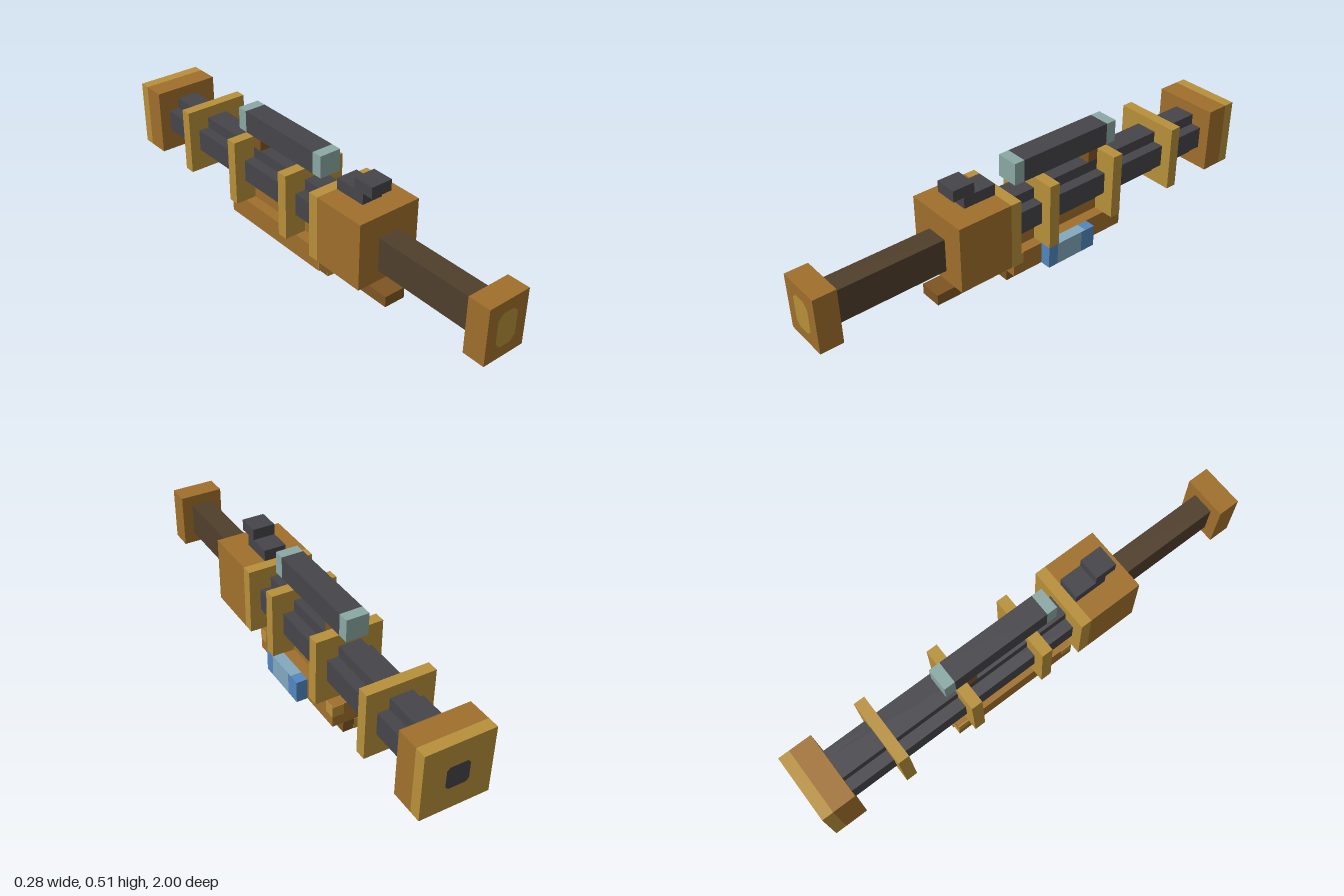
import * as THREE from 'three';

const colour = (name, hex) => {
  const m = new THREE.MeshStandardMaterial({ color: hex });
  m.name = name;
  return m;
};

export function createModel() {
  const model = new THREE.Group();
  model.name = 'model';

  const bronze = colour('bronze', 0xa0702c);
  const gold = colour('gold', 0xb8903a);
  const brown = colour('brown', 0x7f5522);
  const darkWood = colour('dark wood', 0x503f2c);
  const iron = colour('iron grey', 0x46454a);
  const teal = colour('pale teal', 0x8ba9a5);
  const blue = colour('blue', 0x5287c0);
  const paleBlue = colour('pale blue', 0x82a9be);

  // One voxel; most sizes are multiples of it
  const U = 0.0465;

  // Box given by its limits along each axis
  function box(name, material, [x0, x1], [y0, y1], [z0, z1]) {
    const mesh = new THREE.Mesh(new THREE.BoxGeometry(x1 - x0, y1 - y0, z1 - z0), material);
    mesh.position.set((x0 + x1) / 2, (y0 + y1) / 2, (z0 + z1) / 2);
    mesh.name = name;
    model.add(mesh);
    return mesh;
  }
  const wide = (n) => [-n * U, n * U];

  // Flat patch with cut corners, facing +z or -z
  function patch(name, material, w, h, cut, y, z, back) {
    const s = new THREE.Shape([
      [-w + cut, -h], [w - cut, -h], [w, -h + cut], [w, h - cut],
      [w - cut, h], [-w + cut, h], [-w, h - cut], [-w, -h + cut],
    ].map(([a, b]) => new THREE.Vector2(a, b)));
    const mesh = new THREE.Mesh(new THREE.ShapeGeometry(s), material);
    mesh.position.set(0, y, z);
    if (back) mesh.rotation.y = Math.PI;
    mesh.name = name;
    model.add(mesh);
  }

  // Stock and butt plate
  box('stock', darkWood, wide(1), [0.186, 0.326], [0.44, 0.907]);
  box('buttPlate', bronze, wide(2), [0.14, 0.372], [0.907, 0.999]);
  patch('buttInlay', gold, U, 0.07, 0.022, 0.256, 1, false);

  // Receiver with gold rear band
  box('receiver', bronze, wide(3), [0.14, 0.419], [0.209, 0.442]);
  box('receiverBand', gold, wide(3), [0.14, 0.419], [0.163, 0.209]);

  // Stepped rear sight
  box('sightBase', iron, wide(1), [0.419, 0.466], [0.209, 0.349]);
  box('sightTop', iron, wide(1), [0.466, 0.512], [0.302, 0.395]);

  // Hooked trigger
  box('triggerStem', brown, wide(1), [0.047, 0.14], [0.349, 0.395]);
  box('triggerTip', brown, wide(1), [0.047, 0.093], [0.395, 0.488]);

  // Cross-shaped barrel
  box('barrelWide', iron, wide(2), [0.233, 0.326], [-0.86, 0.163]);
  box('barrelTall', iron, wide(1), [0.186, 0.372], [-0.86, 0.163]);

  // Barrel rings
  for (const z of [0, -0.325, -0.651]) {
    box('barrelRing', gold, wide(3), [0.14, 0.419], [z - U / 2, z + U / 2]);
  }

  // Muzzle block with gold rim and dark bore
  box('muzzle', bronze, wide(3), [0.14, 0.419], [-0.953, -0.86]);
  box('muzzleRim', gold, wide(3), [0.14, 0.419], [-0.999, -0.953]);
  patch('bore', iron, U, U, 0.012, 0.279, -1, true);

  // Carrying handle with pale caps and a lug below
  box('handle', iron, wide(1), [0.419, 0.512], [-0.349, 0.07]);
  box('handleCap', teal, wide(1), [0.419, 0.512], [0.07, 0.116]);
  box('handleCap', teal, wide(1), [0.419, 0.512], [-0.395, -0.349]);
  box('handleLug', brown, wide(1), [0.372, 0.419], [-0.302, -0.256]);

  // Fore-end under the barrel
  box('foreEndTop', bronze, wide(1), [0.14, 0.186], [-0.302, 0.163]);
  box('foreEnd', bronze, wide(2), [0.047, 0.14], [-0.395, 0.163]);
  box('foreEndKeel', brown, wide(1), [0, 0.047], [-0.395, 0.163]);

  // Gold inlays on the fore-end corners
  const T = 0.002;
  for (const [z0, z1] of [[0.163, 0.163 + T], [-0.395 - T, -0.395]]) {
    box('endInlay', gold, [-2 * U, -U], [0.047, 0.093], [z0, z1]);
    box('endInlay', gold, [U, 2 * U], [0.093, 0.14], [z0, z1]);
    box('endInlay', gold, [-U, 0], [0, 0.047], [z0, z1]);
  }
  for (const side of [-1, 1]) {
    for (const z of [0.14, -0.372]) {
      const x = side * 2 * U;
      box('sideInlay', gold, [x - T, x + T], [0.093, 0.14], [z - U / 2, z + U / 2]);
    }
  }

  // Blue cell on the left side
  const cellX = [2 * U, 3 * U], cellY = [0.047, 0.14];
  box('cellFront', blue, cellX, cellY, [-0.019, 0.025]);
  box('cellMiddle', paleBlue, cellX, cellY, [-0.143, -0.019]);
  box('cellRear', blue, cellX, cellY, [-0.209, -0.143]);
  box('cellTop', paleBlue, cellX, [0.14, 0.141], [-0.163, 0.02]);

  return model;
}
